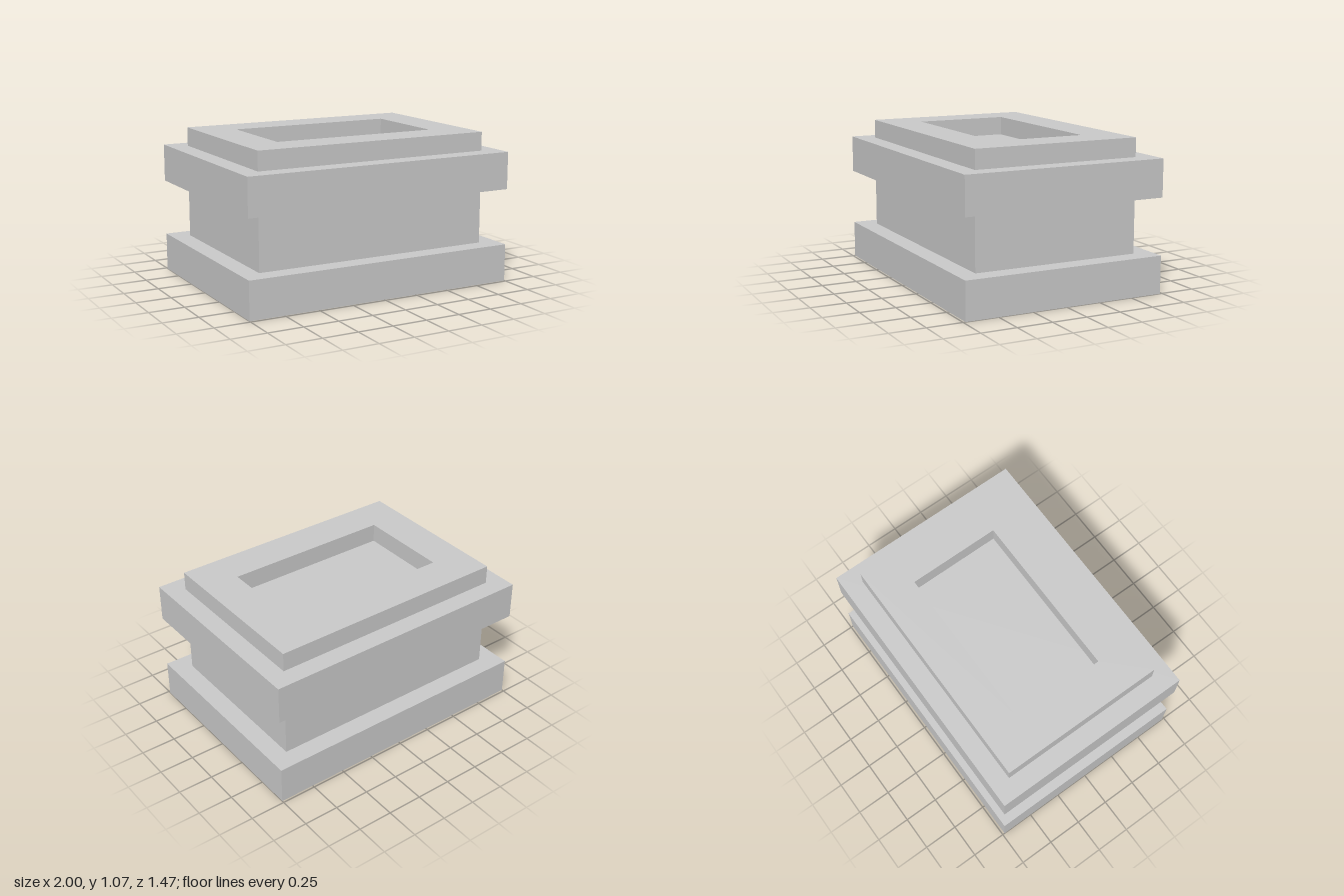
import * as THREE from 'three';

const material = new THREE.MeshStandardMaterial({ color: 0xcccccc, flatShading: true });

// Corners of a centred rectangle, for outlines and holes
function rectangle(width, depth) {
  const x = width / 2, y = depth / 2;
  return [[-x, -y], [x, -y], [x, y], [-x, y]].map(([a, b]) => new THREE.Vector2(a, b));
}

// A block resting at height bottom
function slab(name, width, depth, bottom, top) {
  const mesh = new THREE.Mesh(new THREE.BoxGeometry(width, top - bottom, depth), material);
  mesh.position.y = (bottom + top) / 2;
  mesh.name = name;
  return mesh;
}

export function createModel() {
  const group = new THREE.Group();
  group.name = 'pedestal';

  // Stacked blocks: wide base, narrower body, wide ledge
  group.add(
    slab('base', 2, 1.467, 0, 0.267),
    slab('body', 1.733, 1.2, 0.267, 0.667),
    slab('ledge', 2, 1.467, 0.667, 0.933)
  );

  // Raised rim around a rectangular recess; the ledge forms its floor
  const outline = new THREE.Shape(rectangle(1.733, 1.2));
  outline.holes.push(new THREE.Path(rectangle(1.2, 0.667).reverse()));
  const rimGeometry = new THREE.ExtrudeGeometry(outline, { depth: 0.134, bevelEnabled: false });
  rimGeometry.rotateX(-Math.PI / 2);
  const rim = new THREE.Mesh(rimGeometry, material);
  rim.position.y = 0.933;
  rim.name = 'rim';
  group.add(rim);

  return group;
}
